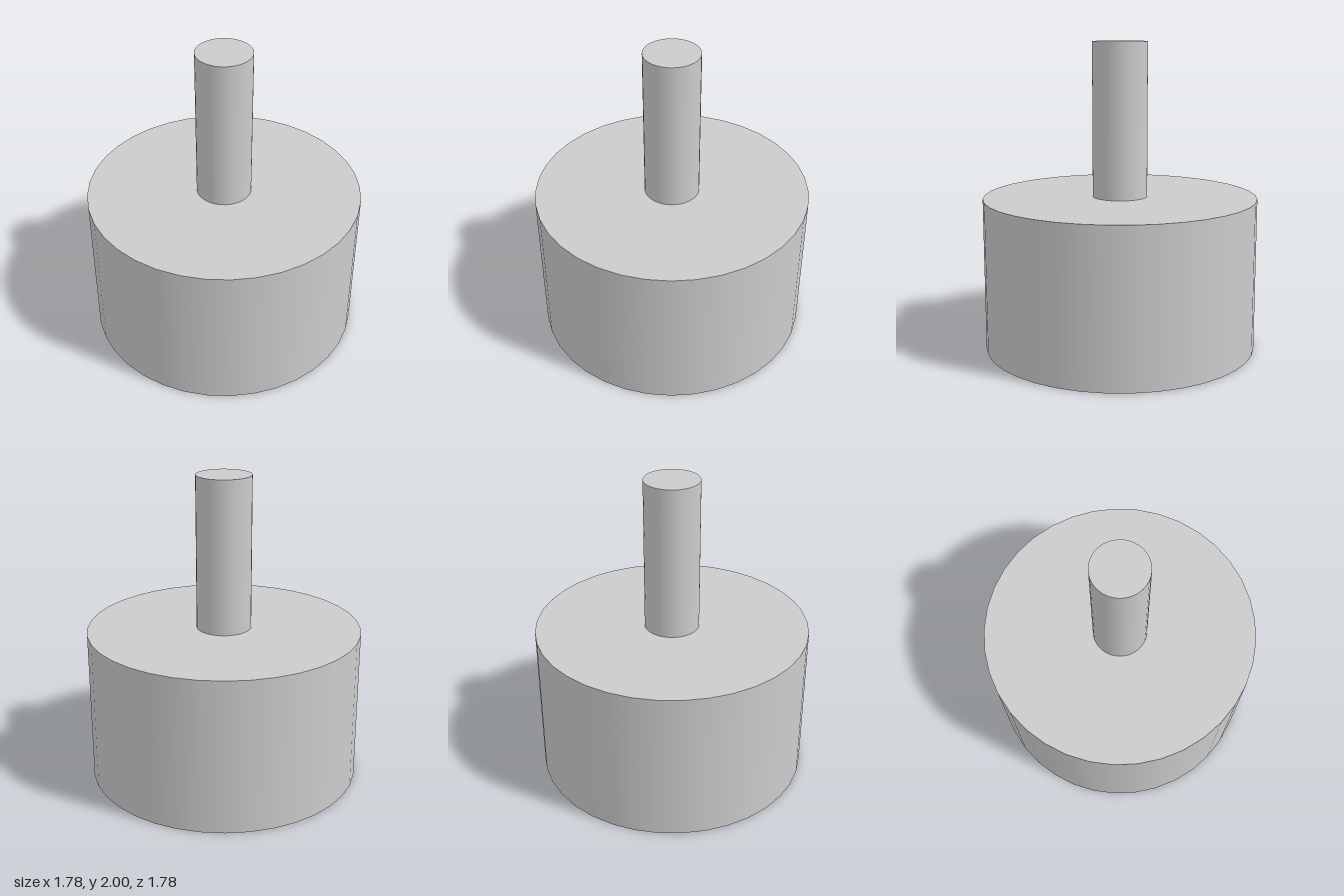
import * as THREE from 'three';

const SIDES = 37;

// Upright smooth cylinder standing on height y, with a corner at the back
function upright(name, radius, height, y, material) {
  const geometry = new THREE.CylinderGeometry(radius, radius, height, SIDES, 1, false, Math.PI);
  geometry.translate(0, y + height / 2, 0);
  const mesh = new THREE.Mesh(geometry, material);
  mesh.name = name;
  return mesh;
}

export function createModel() {
  const group = new THREE.Group();
  group.name = 'steppedCylinder';
  const grey = new THREE.MeshStandardMaterial({ color: 0xcccccc });

  // Wide drum with a narrow shaft rising from its top
  group.add(upright('drum', 0.89, 1, 0, grey));
  group.add(upright('shaft', 0.178, 1, 1, grey));
  return group;
}
